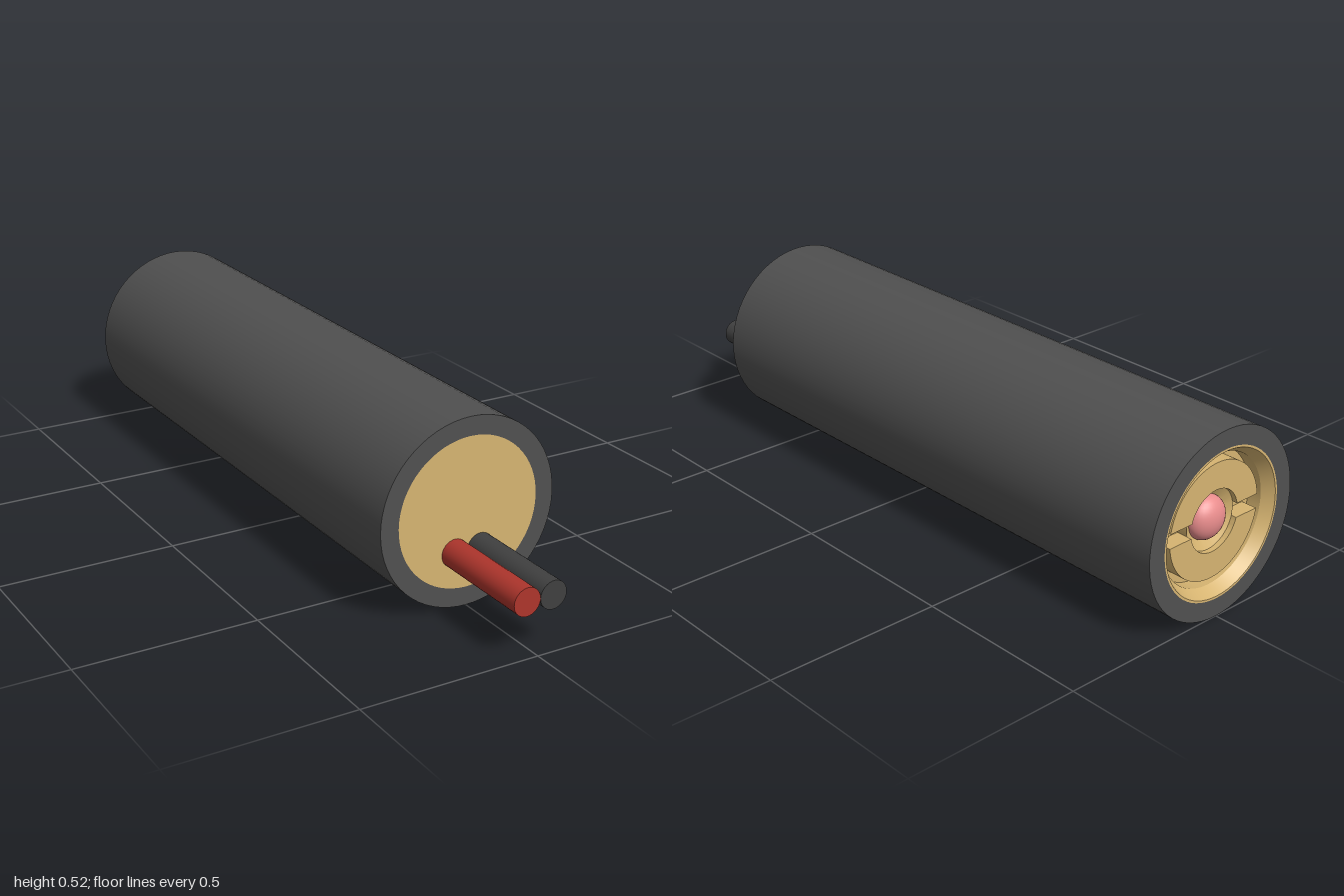
import * as THREE from 'three';
import { toCreasedNormals } from 'three/addons/utils/BufferGeometryUtils.js';

const BACK = -1, FRONT = 0.69, RADIUS = 0.258, CORE = 0.206, FLOOR = -0.93;

const paint = (color) => new THREE.MeshStandardMaterial({ color });

// Profile of [radius, z] pairs turned about the z axis, running anticlockwise.
function turned(profile, segments = 64) {
  const points = profile.map(([r, z]) => new THREE.Vector2(r, z));
  const geometry = new THREE.LatheGeometry(points, segments).rotateX(Math.PI / 2);
  return toCreasedNormals(geometry, 0.5);
}

// Half of the slotted ring, above the slot.
function halfRing(outer, inner, slot, depth) {
  const a = Math.asin(slot / outer), b = Math.asin(slot / inner);
  const shape = new THREE.Shape();
  shape.absarc(0, 0, outer, a, Math.PI - a, false);
  shape.absarc(0, 0, inner, Math.PI - b, b, true);
  const geometry = new THREE.ExtrudeGeometry(shape, { depth, bevelEnabled: false, curveSegments: 32 });
  return toCreasedNormals(geometry, 0.5);
}

export function createModel() {
  const model = new THREE.Group();
  const barrel = new THREE.Group();
  barrel.name = 'barrel';
  barrel.position.y = RADIUS;
  model.add(barrel);

  const brass = paint(0xd6b471);
  const add = (name, geometry, material) => {
    const mesh = new THREE.Mesh(geometry, material);
    mesh.name = name;
    barrel.add(mesh);
    return mesh;
  };

  // Dark outer sleeve
  add('sleeve', turned([
    [RADIUS, BACK], [RADIUS, FRONT], [CORE, FRONT], [CORE, BACK], [RADIUS, BACK],
  ]), paint(0x505050));

  // Brass core, solid at the front and with a bevelled recess at the back
  add('core', turned([
    [0, FLOOR], [0.18, FLOOR], [0.18, -0.97], [0.2, BACK],
    [CORE, BACK], [CORE, FRONT], [0, FRONT],
  ]), brass);

  // Slotted lens holder in two halves
  const half = halfRing(0.16, 0.085, 0.02, 0.045);
  for (const side of [0, 1]) {
    const mesh = add(side ? 'lowerLensHolder' : 'upperLensHolder', half, brass);
    mesh.position.z = FLOOR - 0.045;
    mesh.rotation.z = side * Math.PI;
  }

  // Collar and domed lens
  add('lensCollar', turned([
    [0.085, -0.96], [0.085, FLOOR], [0.06, FLOOR], [0.06, -0.945], [0.085, -0.96],
  ], 48), brass);
  const lens = add('lens', new THREE.SphereGeometry(0.06, 32, 20), paint(0xe88c8c));
  lens.scale.z = 0.7;
  lens.position.z = -0.945;

  // Pair of wires leaving the front
  const wire = new THREE.CylinderGeometry(0.0385, 0.0385, 1 - FRONT + 0.01, 32).rotateX(Math.PI / 2);
  for (const [name, x, color] of [['redWire', -0.0385, 0xad352c], ['blackWire', 0.0385, 0x404040]]) {
    add(name, wire, paint(color)).position.set(x, 0.155 - RADIUS, (1 + FRONT - 0.01) / 2);
  }
  return model;
}
